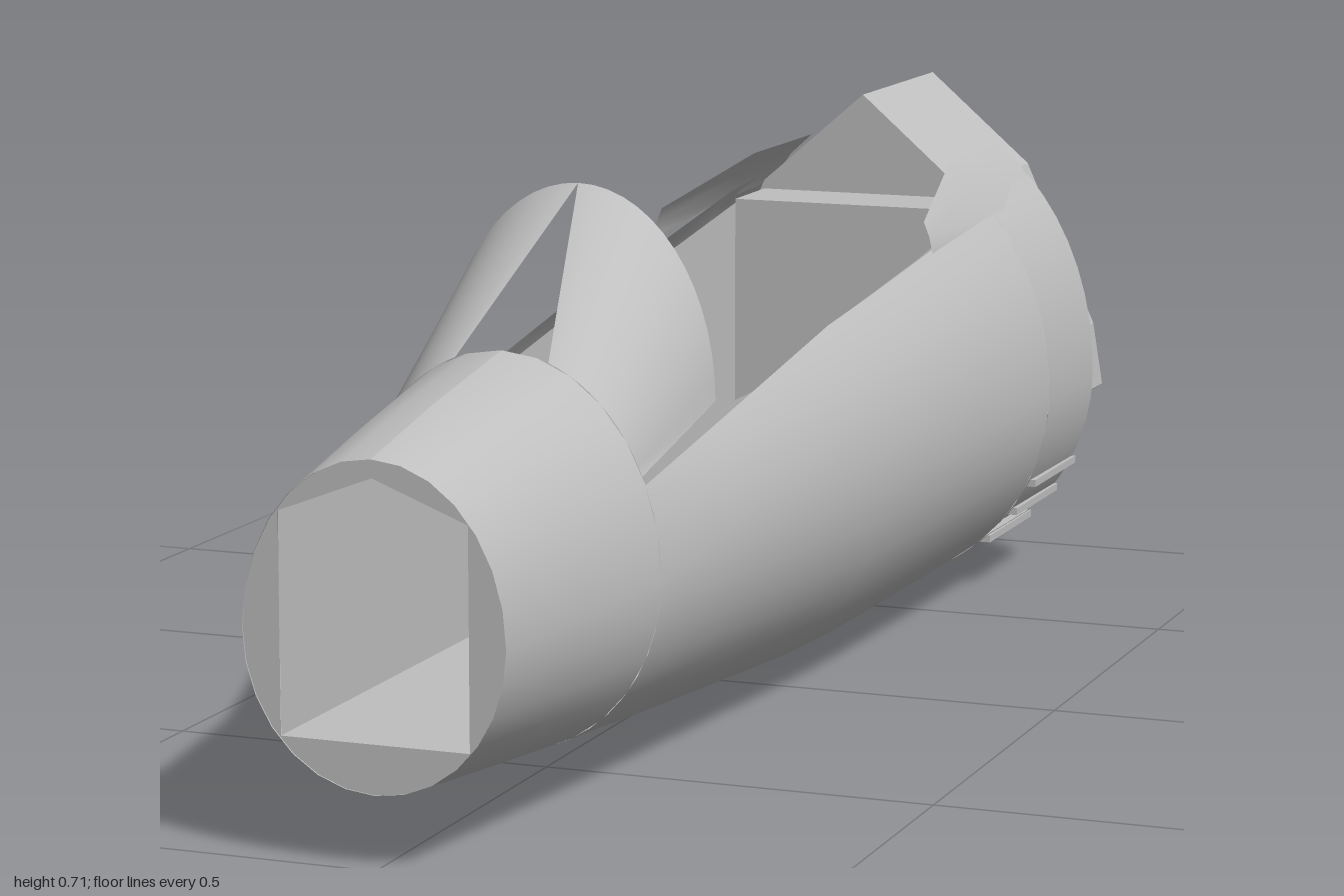
import * as THREE from 'three';

// Fuselage sections: z, half width, height of widest point, bottom, crown, sill height
const SECTIONS = [
  [1, 0.163, 0.27, 0.088, 0.475, 0.475],
  [0.82, 0.182, 0.272, 0.07, 0.51, 0.51],
  [0.63, 0.203, 0.276, 0.053, 0.54, 0.39],
  [0.39, 0.226, 0.28, 0.034, 0.53, 0.425],
  [0, 0.263, 0.288, 0.006, 0.57, 0.485],
  [-0.15, 0.272, 0.29, 0, 0.585, 0.5],
  [-0.4, 0.283, 0.29, 0, 0.61, 0.525],
  [-0.66, 0.29, 0.29, 0, 0.65, 0.56],
  [-0.87, 0.293, 0.29, 0, 0.665, 0.575],
];
const STEPS = 28;

const pointAt = ([z, w, c, b, t], a) =>
  [w * Math.sin(a), c - (Math.abs(a) < Math.PI / 2 ? c - b : t - c) * Math.cos(a), z];
const angleAt = ([, , c, b, t], y) =>
  Math.acos(THREE.MathUtils.clamp((c - y) / (y < c ? c - b : t - c), -1, 1));

// Points of one section between two angles
const arc = (s, from, to, n = STEPS) =>
  Array.from({ length: n + 1 }, (_, i) => pointAt(s, from + (to - from) * i / n));

// Skin through rows of points
function loft(rows) {
  const n = rows[0].length;
  const index = [];
  for (let r = 0; r < rows.length - 1; r++) {
    for (let i = 0; i < n - 1; i++) {
      const a = r * n + i, b = a + n;
      index.push(a, a + 1, b, a + 1, b + 1, b);
    }
  }
  const g = new THREE.BufferGeometry();
  g.setAttribute('position', new THREE.Float32BufferAttribute(rows.flat(2), 3));
  g.setIndex(index);
  g.computeVertexNormals();
  return g;
}

const mirror = (rows, side) => rows.map(r => r.map(([x, y, z]) => [x * side, y, z]));
const shapeOf = pts => new THREE.Shape(pts.map(([x, y]) => new THREE.Vector2(x, y)));

export function createModel() {
  const group = new THREE.Group();
  const grey = new THREE.MeshStandardMaterial({ color: 0xbfbfbf, side: THREE.DoubleSide });
  grey.name = 'hull grey';
  const add = (name, geometry) => {
    const mesh = new THREE.Mesh(geometry, grey);
    mesh.name = name;
    group.add(mesh);
    return mesh;
  };

  // Closed nose, then the open cockpit hull
  add('noseShell', loft(SECTIONS.slice(0, 3).map(s => arc(s, -Math.PI, Math.PI))));
  add('cockpitShell', loft(SECTIONS.slice(2, 8).map(s => {
    const m = angleAt(s, s[5]);
    return arc(s, -m, m);
  })));

  // Tail bay with a slot low on each side
  const bay = SECTIONS.slice(7);
  add('tailBelly', loft(bay.map(s => arc(s, -angleAt(s, 0.08), angleAt(s, 0.08)))));
  for (const side of [-1, 1]) {
    add('tailSide', loft(mirror(bay.map(s => arc(s, angleAt(s, 0.105), angleAt(s, s[5]), 14)), side)));
    // Narrow strips bordering the slot
    for (const y of [0.072, 0.115, 0.158]) {
      const [x] = pointAt(bay[0], angleAt(bay[0], y));
      const strip = add('slotStrip', new THREE.BoxGeometry(0.02, 0.01, 0.2));
      strip.position.set(side * x, y, -0.77);
    }
    // Raised rear shoulder panel
    add('shoulderPanel', loft(mirror([
      [[0.205, 0.527, -0.38], [0.2, 0.55, -0.38], [0.192, 0.57, -0.38]],
      [[0.205, 0.545, -0.63], [0.178, 0.585, -0.63], [0.147, 0.62, -0.63]],
      [[0.205, 0.55, -0.87], [0.178, 0.59, -0.87], [0.145, 0.62, -0.87]],
    ], side)));
  }

  // Windscreen hood halves leave a triangular opening between them
  const base = SECTIONS[2];
  const N = 14;
  const arch = Array.from({ length: N + 1 }, (_, i) => {
    const a = (Math.PI / 2) * (1 - i / N);
    return [0.18 * Math.sin(a), 0.45 + 0.26 * Math.cos(a), 0.39];
  });
  const foot = arc(base, angleAt(base, 0.4), Math.PI - Math.asin(0.06 / base[1]), N);
  for (const side of [-1, 1]) add('windscreenHood', loft(mirror([foot, arch], side)));

  // Nose face with a five-sided opening
  const rim = arc(SECTIONS[0], -Math.PI, Math.PI);
  const face = shapeOf(rim.slice(0, -1));
  const opening = [[-0.117, 0.147], [0.117, 0.147], [0.117, 0.408], [0, 0.453], [-0.117, 0.408]];
  face.holes.push(new THREE.Path(opening.map(([x, y]) => new THREE.Vector2(x, y))));
  add('noseFace', new THREE.ShapeGeometry(face)).position.z = 0.998;

  // Tunnel behind the nose opening, with a roof only under the hood
  const run = (pts, z0, z1) => loft([z0, z1].map(z => pts.map(([x, y]) => [x, y, z])));
  add('tunnelRoof', run(opening.slice(2), 0.997, 0.63));
  for (const side of [-1, 1]) {
    add('tunnelWall', run([[side * 0.117, 0.147], [side * 0.117, 0.408]], 0.997, 0.06));
    // Cockpit side walls follow the sill
    add('cockpitWall', loft(SECTIONS.slice(3, 8).map(s =>
      [[side * 0.177, 0.147, s[0]], [side * 0.177, s[5] - 0.01, s[0]]])));
  }
  add('noseFloor', run([[-0.117, 0.147], [0.117, 0.147]], 0.997, 0.39));
  add('cockpitFloor', run([[-0.177, 0.147], [0.177, 0.147]], 0.39, -0.6));

  // Low seat and the bulkhead behind it
  add('seat', new THREE.BoxGeometry(0.22, 0.09, 0.62)).position.set(0, 0.195, -0.25);
  add('bulkhead', new THREE.BoxGeometry(0.3, 0.415, 0.12)).position.set(0, 0.355, -0.62);

  // Faceted tail block
  const half = [[0.117, 0.147], [0.27, 0.25], [0.255, 0.34], [0.15, 0.575]];
  const outline = [...half, [0, 0.705], ...half.map(([x, y]) => [-x, y]).reverse()];
  const block = new THREE.ExtrudeGeometry(shapeOf(outline), { depth: 0.32, bevelEnabled: false });
  add('tailBlock', block).position.z = -1;

  return group;
}
